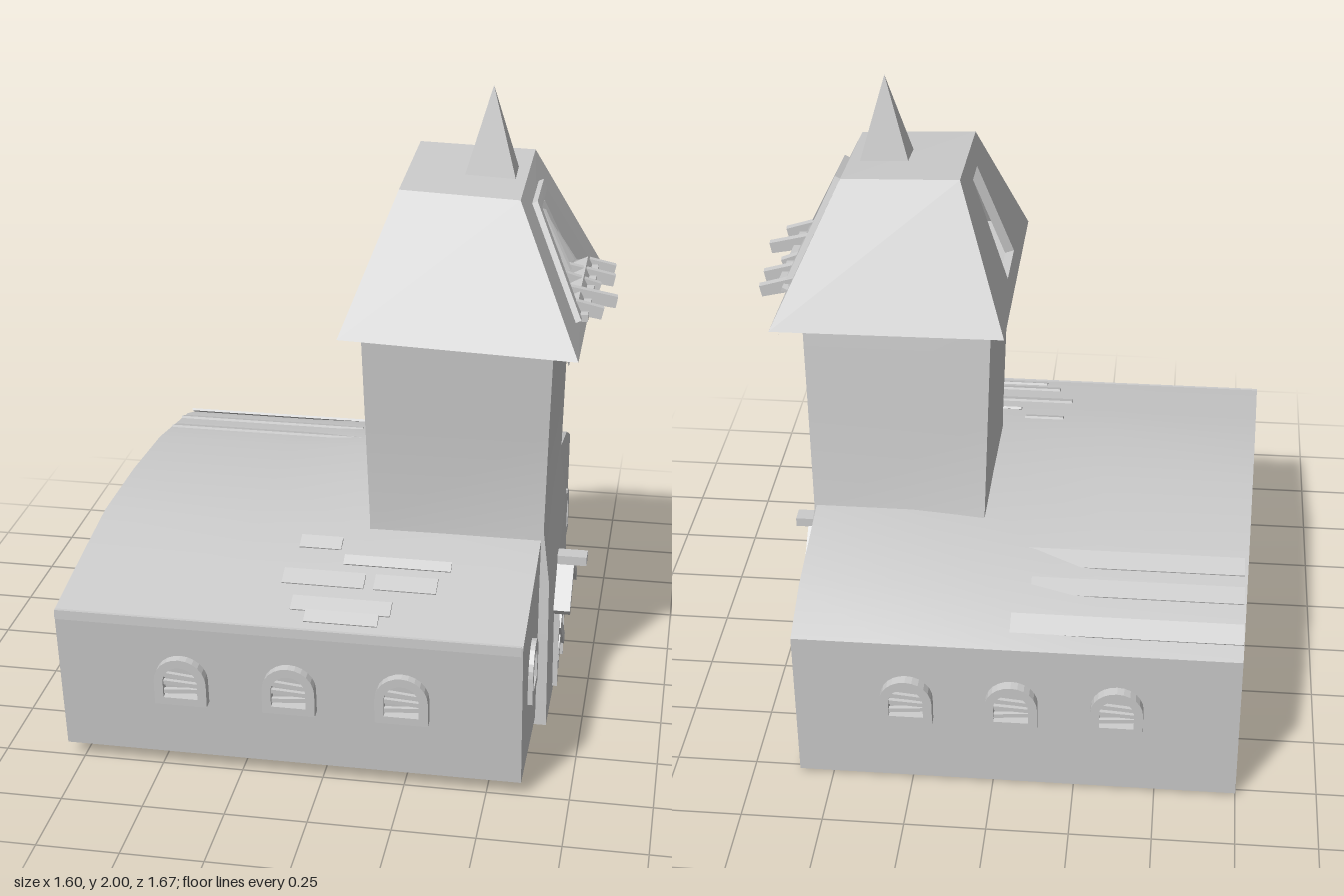
import * as THREE from 'three';
import { toCreasedNormals } from 'three/addons/utils/BufferGeometryUtils.js';

const solid = new THREE.MeshStandardMaterial({ color: 0xcccccc });
const thin = new THREE.MeshStandardMaterial({ color: 0xcccccc, side: THREE.DoubleSide });
const V = (x, y, z) => new THREE.Vector3(x, y, z);

function mesh(parent, name, geometry, material = solid) {
  const m = new THREE.Mesh(geometry, material);
  m.name = name;
  parent.add(m);
  return m;
}

function box(parent, name, w, h, d, x, y, z) {
  const m = mesh(parent, name, new THREE.BoxGeometry(w, h, d));
  m.position.set(x, y, z);
  return m;
}

// Board from a to b; w is its horizontal width, t its thickness, taper narrows the far end
function board(parent, name, a, b, w, t, taper = 1) {
  const g = new THREE.BoxGeometry(w, t, a.distanceTo(b));
  const p = g.attributes.position;
  for (let i = 0; i < p.count; i++) if (p.getZ(i) > 0) p.setY(i, p.getY(i) * taper);
  g.computeVertexNormals();
  const m = mesh(parent, name, g);
  m.position.copy(a).add(b).multiplyScalar(0.5);
  m.lookAt(b);
  return m;
}

// Closed skin through rings of points, capped at both ends
function loft(rings) {
  const n = rings[0].length, idx = [];
  for (let r = 0; r < rings.length - 1; r++) {
    for (let i = 0; i < n; i++) {
      const a = r * n + i, b = r * n + (i + 1) % n;
      idx.push(a, b, b + n, a, b + n, a + n);
    }
  }
  const last = (rings.length - 1) * n;
  for (let i = 1; i < n - 1; i++) idx.push(0, i + 1, i, last, last + i, last + i + 1);
  const g = new THREE.BufferGeometry().setFromPoints(rings.flat());
  g.setIndex(idx);
  return toCreasedNormals(g, 0.4);
}

function quads(list) {
  const g = new THREE.BufferGeometry().setFromPoints(list.flatMap(([a, b, c, d]) => [a, b, c, a, c, d]));
  g.computeVertexNormals();
  return g;
}

// Quads joining two four-cornered loops
const ring = (o, i) => o.map((p, k) => [p, o[(k + 1) % 4], i[(k + 1) % 4], i[k]]);
const shift = (pts, n, d) => pts.map(p => p.clone().addScaledVector(n, d));
const normalOf = c => c[1].clone().sub(c[0]).cross(c[3].clone().sub(c[0])).normalize();
const inside = (c, uv) => uv.map(([u, v]) =>
  c[0].clone().lerp(c[1], u).lerp(c[3].clone().lerp(c[2], u), v));

// Sagging roof profile from back to front, for the two ends of the hall
const PZ = [-0.81, -0.64, -0.3, 0, 0.31, 0.55, 0.82];
const RIGHT = [0.53, 0.61, 0.68, 0.665, 0.64, 0.59, 0.535];
const LEFT = [0.53, 0.585, 0.635, 0.645, 0.635, 0.59, 0.535];
function roofY(x, z) {
  const t = THREE.MathUtils.smoothstep(x, -0.3, 0.3);
  let k = 0;
  while (k < PZ.length - 2 && z > PZ[k + 1]) k++;
  const f = (z - PZ[k]) / (PZ[k + 1] - PZ[k]);
  const at = p => p[k] + (p[k + 1] - p[k]) * f;
  return at(LEFT) * (1 - t) + at(RIGHT) * t;
}

function archPath(target, w, h, y0 = 0) {
  const r = w / 2;
  target.moveTo(-r, y0);
  target.lineTo(r, y0);
  target.lineTo(r, h - r);
  target.absarc(0, h - r, r, 0, Math.PI, false);
  target.lineTo(-r, y0);
  return target;
}

// Arched window facing +z, standing on its origin
function archWindow(parent, x, y, z, turn, lean, slats) {
  const g = new THREE.Group();
  g.name = 'window';
  const s = archPath(new THREE.Shape(), 0.16, 0.16);
  s.holes.push(archPath(new THREE.Path(), 0.105, 0.132, 0.025));
  mesh(g, 'windowFrame', new THREE.ExtrudeGeometry(s, { depth: 0.04, bevelEnabled: false, curveSegments: 6 }));
  if (slats) [0.045, 0.07, 0.095].forEach((h, i) => {
    box(g, 'windowSlat', 0.11, 0.014, 0.012, 0, h, 0.026).rotation.z = [0.08, -0.06, -0.1][i];
  });
  g.position.set(x, y, z);
  g.rotation.set(lean, turn, 0, 'YXZ');
  parent.add(g);
  return g;
}

export function createModel() {
  const model = new THREE.Group();
  model.name = 'ruinedChapel';

  // Hall
  const bottom = [[0.76, 0.05], [0.2, 0.02], [-0.33, 0], [-0.78, 0.01]];
  mesh(model, 'hall', loft([-0.8, -0.3, 0, 0.3, 0.605].map(x => [
    ...bottom, ...PZ.map(z => [z, roofY(x, z)])
  ].map(([z, y]) => V(x === -0.8 ? x + 0.05 * (0.8 - z) / 1.6 : x, y, z)))));
  box(model, 'eaveBoard', 1.4, 0.03, 0.012, -0.1, 0.522, 0.815);

  // Lifted roof planks: x from, x to, lower z, upper z
  [[-0.75, -0.05, -0.75, -0.69], [-0.75, -0.1, -0.6, -0.54], [-0.75, -0.08, -0.475, -0.41],
    [-0.13, 0.0, 0.43, 0.385], [-0.15, 0.1, 0.61, 0.555], [0.13, 0.32, 0.61, 0.555],
    [-0.1, 0.2, 0.73, 0.68], [-0.05, 0.17, 0.78, 0.74], [0.02, 0.35, 0.5, 0.47]
  ].forEach(([x0, x1, z0, z1]) => {
    const x = (x0 + x1) / 2;
    board(model, 'roofPlank', V(x, roofY(x, z0), z0), V(x, roofY(x, z1) + 0.012, z1), x1 - x0, 0.008);
  });

  // Windows
  [-0.42, -0.09, 0.25].forEach(x => archWindow(model, x, 0.25, 0.778, 0, 0.08, true));
  [-0.38, -0.06, 0.26].forEach(x => archWindow(model, x, 0.25, -0.785, Math.PI, 0.06, true));
  [0.545, -0.575].forEach(z => archWindow(model, 0.58, 0.24, z, Math.PI / 2, 0, false).scale.y = 1.1);

  // Tower shaft: y, x range, z range
  mesh(model, 'tower', loft([
    [0, 0.07, 0.64, -0.345, 0.325], [0.5, 0.07, 0.635, -0.34, 0.325], [0.67, 0.07, 0.612, -0.3, 0.31],
    [1.0, 0.06, 0.62, -0.28, 0.34], [1.34, 0.05, 0.63, -0.255, 0.372]
  ].map(([y, x0, x1, z0, z1]) => [V(x0, y, z1), V(x1, y, z1), V(x1, y, z0), V(x0, y, z0)])));

  // Tower roof with an opening on two opposite sides
  const base = [V(0, 1.325, 0.49), V(0.71, 1.3, 0.49), V(0.71, 1.335, -0.37), V(0, 1.34, -0.37)];
  const top = [V(0.15, 1.73, 0.28), V(0.51, 1.715, 0.28), V(0.51, 1.75, -0.16), V(0.15, 1.76, -0.16)];
  const panel = k => [base[k], base[(k + 1) % 4], top[(k + 1) % 4], top[k]];
  const openings = {
    1: [[0.24, 0.2], [0.76, 0.2], [0.635, 0.82], [0.325, 0.82]],
    3: [[0.36, 0.12], [0.62, 0.12], [0.62, 0.86], [0.38, 0.86]]
  };
  const skin = [base.slice().reverse(), top];
  for (let k = 0; k < 4; k++) {
    const c = panel(k), n = normalOf(c);
    if (!openings[k]) { skin.push(c); continue; }
    const h = inside(c, openings[k]), hi = shift(h, n, -0.03);
    skin.push(...ring(c, h), ...ring(h, hi), ...ring(shift(c, n, -0.03), hi));
  }
  mesh(model, 'towerRoof', quads(skin), thin);

  // Raised surround of the large opening
  const face = panel(1), n = normalOf(face);
  const outer = inside(face, [[0.19, 0.12], [0.79, 0.12], [0.67, 0.88], [0.275, 0.88]]);
  const inner = inside(face, openings[1]);
  const o2 = shift(outer, n, 0.018), i2 = shift(inner, n, 0.018);
  mesh(model, 'openingSurround', quads([...ring(outer, o2), ...ring(o2, i2), ...ring(i2, inner)]), thin);

  // Splintered boards in the opening: z, y from and to
  const faceX = y => 0.69 - 0.2 * (y - 1.3) / 0.43;
  [[0.17, 1.65, 0.05, 1.51], [0.09, 1.65, 0.045, 1.47], [0.2, 1.42, 0.13, 1.6], [0.17, 1.56, 0.09, 1.44],
    [0.13, 1.45, 0.12, 1.58], [0.02, 1.42, -0.03, 1.61], [-0.02, 1.62, -0.09, 1.47],
    [-0.07, 1.42, -0.04, 1.56], [-0.1, 1.41, -0.065, 1.53]
  ].forEach(([z0, y0, z1, y1]) =>
    board(model, 'splinter', V(faceX(y0), y0, z0), V(faceX(y1), y1, z1), 0.012, 0.032, 0.25));

  // Broken sill and joist stubs
  board(model, 'sill', V(0.695, 1.365, 0.29), V(0.695, 1.38, -0.17), 0.05, 0.022);
  [[0.25, 0.76], [0.14, 0.795], [0.025, 0.735], [-0.06, 0.775], [-0.16, 0.77]].forEach(([z, x]) =>
    board(model, 'joistStub', V(0.63, 1.4, z + 0.01), V(x, 1.37, z - 0.005), 0.024, 0.045, 0.8));

  // Spire
  const spire = mesh(model, 'spire', new THREE.ConeGeometry(0.083 * Math.SQRT2, 0.29, 4, 1)
    .rotateY(Math.PI / 4).toNonIndexed());
  spire.geometry.computeVertexNormals();
  spire.scale.z = 0.72;
  spire.position.set(0.4, 1.855, 0.055);

  // Boarded door under a small gable
  const door = new THREE.Group();
  door.name = 'door';
  model.add(door);
  box(door, 'doorPanel', 0.02, 0.3, 0.21, 0.632, 0.17, -0.012);
  [0.098, -0.122].forEach(z => box(door, 'doorPost', 0.03, 0.3, 0.012, 0.64, 0.17, z));
  box(door, 'doorLintel', 0.03, 0.014, 0.23, 0.64, 0.318, -0.012);
  board(door, 'crossBoard', V(0.647, 0.07, 0.07), V(0.647, 0.26, -0.11), 0.014, 0.035);
  board(door, 'crossBoard', V(0.653, 0.24, 0.08), V(0.653, 0.09, -0.1), 0.014, 0.035);
  board(door, 'gableBoard', V(0.65, 0.3, 0.125), V(0.65, 0.42, -0.005), 0.08, 0.03);
  board(door, 'gableBoard', V(0.65, 0.3, -0.15), V(0.65, 0.42, -0.015), 0.08, 0.03);
  box(door, 'ridgeBeam', 0.12, 0.03, 0.055, 0.67, 0.435, -0.008);

  return model;
}
